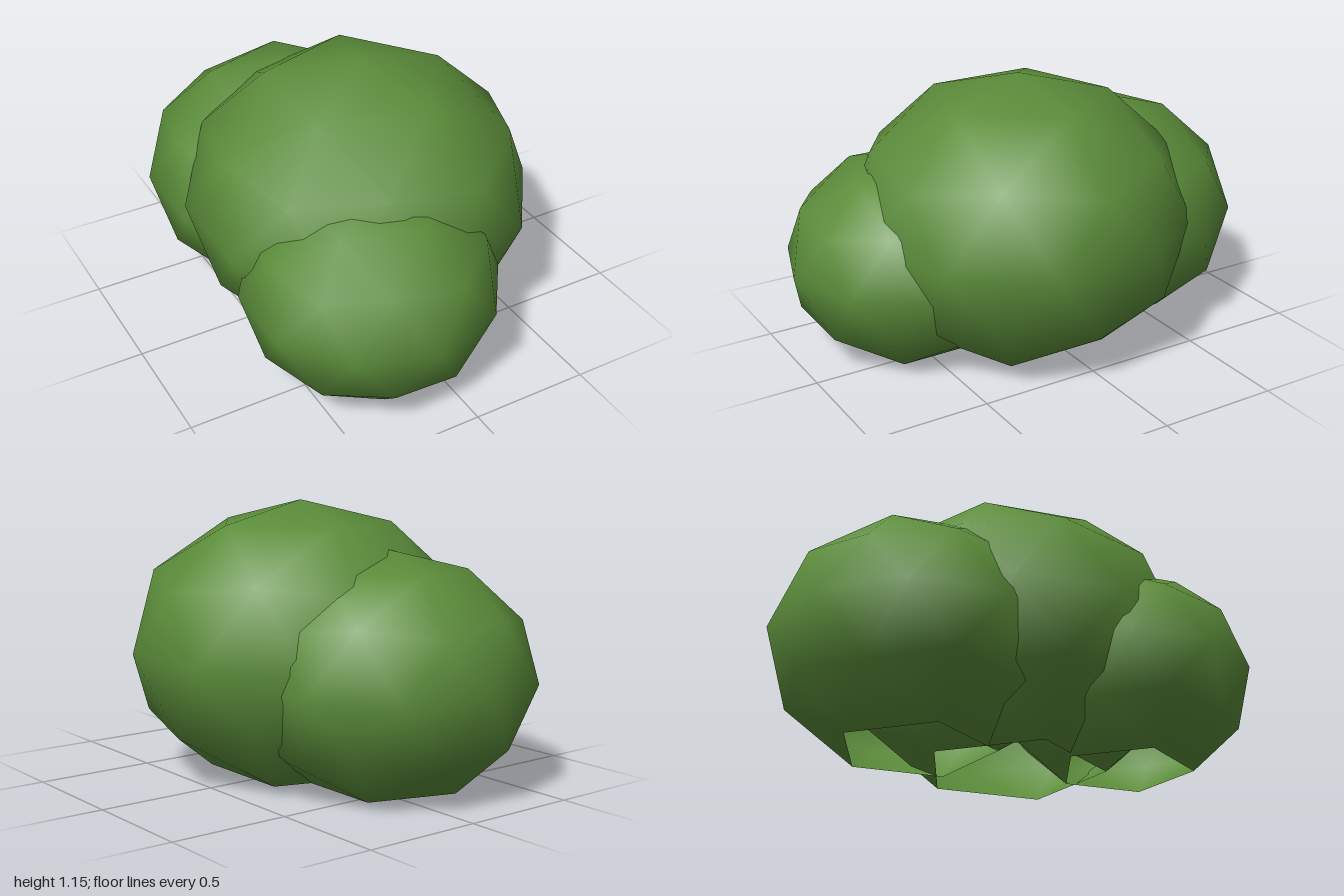
import * as THREE from 'three';
import { mergeVertices } from 'three/addons/utils/BufferGeometryUtils.js';

// Low-poly ball standing on a vertex, with the five faces around its lowest point left open
function openBall(radius, height) {
  const ball = new THREE.IcosahedronGeometry(1, 1);
  ball.rotateZ(-Math.atan(2 / (1 + Math.sqrt(5))));
  const p = ball.getAttribute('position');
  const kept = [];
  for (let i = 0; i < p.count; i += 3) {
    if (Math.min(p.getY(i), p.getY(i + 1), p.getY(i + 2)) < -0.95) continue;
    for (let k = i; k < i + 3; k++) kept.push(p.getX(k), p.getY(k), p.getZ(k));
  }
  let geometry = new THREE.BufferGeometry();
  geometry.setAttribute('position', new THREE.Float32BufferAttribute(kept, 3));
  geometry = mergeVertices(geometry, 1e-3);
  geometry.scale(radius, height, radius);
  geometry.computeVertexNormals();
  return geometry;
}

export function createModel() {
  const bush = new THREE.Group();
  bush.name = 'bush';
  const leaves = new THREE.MeshStandardMaterial({ color: 0x5b8c3a, side: THREE.DoubleSide });

  // Three overlapping clumps of foliage: radius, half height, centre
  const clumps = [
    ['mainClump', 0.726, 0.615, [0, 0.535, 0.05]],
    ['backClump', 0.6125, 0.517, [-0.107, 0.45, -0.3875]],
    ['frontClump', 0.531, 0.455, [-0.18, 0.388, 0.467]],
  ];
  for (const [name, radius, height, centre] of clumps) {
    const mesh = new THREE.Mesh(openBall(radius, height), leaves);
    mesh.name = name;
    mesh.position.set(...centre);
    bush.add(mesh);
  }
  return bush;
}
